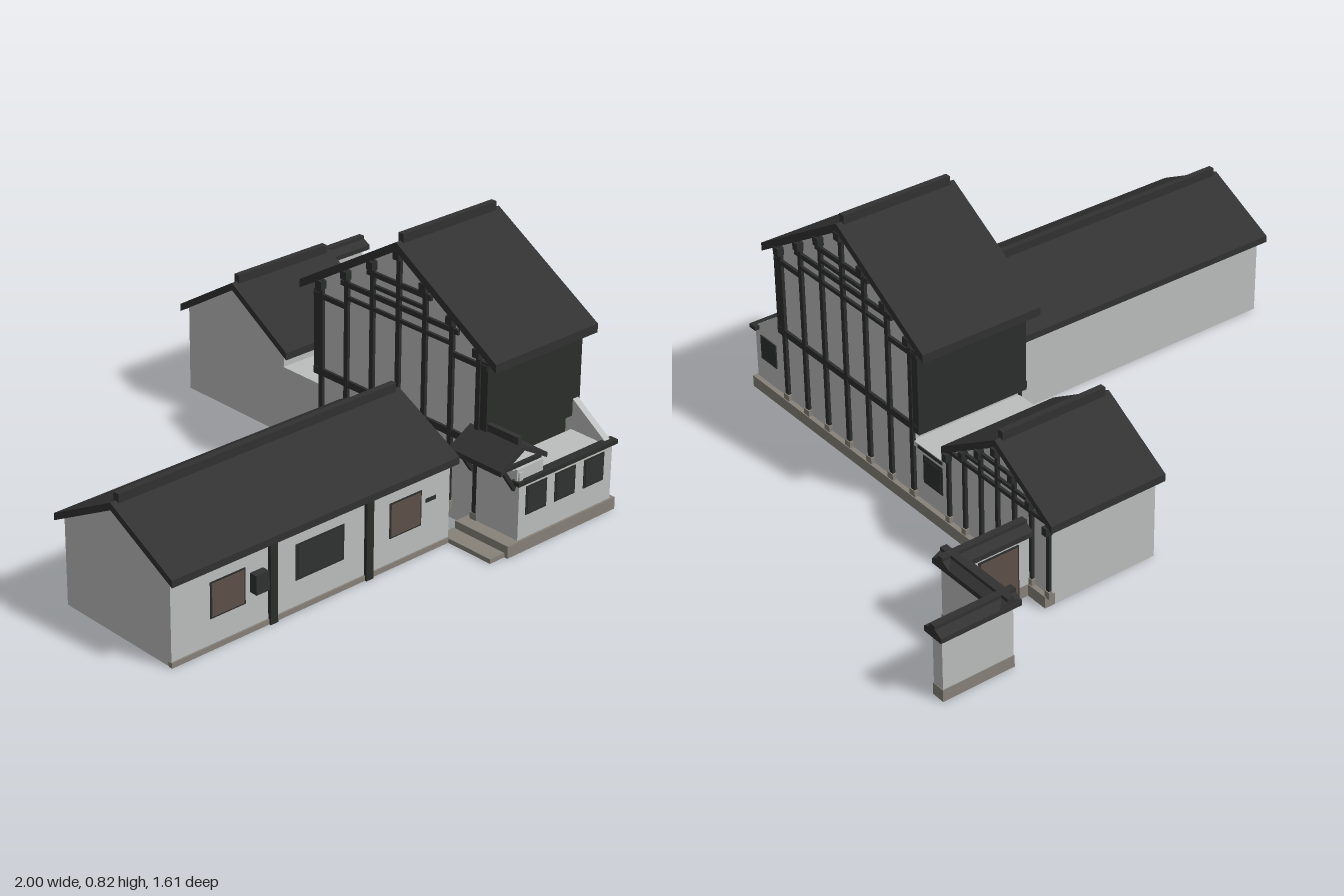
import * as THREE from 'three';

export function createModel() {
  const root = new THREE.Group();
  root.name = 'timberFarmstead';
  const mat = (name, color) => {
    const m = new THREE.MeshStandardMaterial({ color });
    m.name = name;
    return m;
  };
  const roofTile = mat('dark roof tile', 0x323232);
  const timber = mat('dark timber', 0x2b2e2c);
  const plaster = mat('pale plaster', 0xbcbfbd);
  const stone = mat('base stone', 0x87827a);
  const glass = mat('dark window', 0x303232);
  const brown = mat('brown wood', 0x5e504a);

  let parent = root;
  const group = (name, build) => {
    parent = new THREE.Group();
    parent.name = name;
    root.add(parent);
    build();
    parent = root;
  };
  const add = (name, geo, material) => {
    const m = new THREE.Mesh(geo, material);
    m.name = name;
    parent.add(m);
    return m;
  };
  // Box given by its limits on each axis
  const box = (name, m, x0, x1, y0, y1, z0, z1) =>
    add(name, new THREE.BoxGeometry(x1 - x0, y1 - y0, z1 - z0)
      .translate((x0 + x1) / 2, (y0 + y1) / 2, (z0 + z1) / 2), m);
  const extrude = (pts, depth) => new THREE.ExtrudeGeometry(
    new THREE.Shape(pts.map(p => new THREE.Vector2(...p))), { depth, bevelEnabled: false });
  // Profile of [z, y] points swept along x
  const prismX = (name, m, pts, x0, x1) =>
    add(name, extrude(pts, x1 - x0).rotateY(-Math.PI / 2).translate(x1, 0, 0), m);
  // Profile of [x, y] points swept along z
  const prismZ = (name, m, pts, z0, z1) =>
    add(name, extrude(pts, z1 - z0).translate(0, 0, z0), m);
  // Inverted V cross-section of a gable roof
  const chevron = (c, half, ridge, slope, t) => [
    [c - half, ridge - slope * half - t], [c, ridge - t], [c + half, ridge - slope * half - t],
    [c + half, ridge - slope * half], [c, ridge], [c - half, ridge - slope * half]];

  const T = 0.006; // wall thickness

  // Gable-roofed shell: four walls, roof and ridge cap
  const house = ({ x0, x1, c, half, wallHalf, ridge, slope, t, rx0, rx1, longWall = plaster }) => {
    const eave = ridge - t - slope * wallHalf;
    const gable = [[c - wallHalf, 0], [c + wallHalf, 0], [c + wallHalf, eave], [c, ridge - t], [c - wallHalf, eave]];
    prismX('leftGableWall', plaster, gable, x1 - T, x1);
    prismX('rightGableWall', plaster, gable, x0, x0 + T);
    box('frontWall', longWall, x0 + T, x1 - T, 0, eave, c + wallHalf - T, c + wallHalf);
    box('backWall', longWall, x0 + T, x1 - T, 0, eave, c - wallHalf, c - wallHalf + T);
    prismX('roof', roofTile, chevron(c, half, ridge, slope, t), rx0, rx1);
    box('ridgeCap', roofTile, rx0 + 0.02, rx1 - 0.02, ridge - 0.02, ridge + 0.022, c - 0.01, c + 0.01);
  };

  // Posts with stone feet, purlin ends and horizontal beams on a gable face
  const frame = ({ x, dir, c, step, n, ridge, slope, t, w, beams }) => {
    const span = (d0, d1) => [Math.min(x + dir * d0, x + dir * d1), Math.max(x + dir * d0, x + dir * d1)];
    for (let i = -n; i <= n; i++) {
      const z = c + i * step;
      const top = ridge - t - slope * Math.abs(i * step);
      box('post', timber, ...span(0, 0.01), 0.045, top, z - w, z + w);
      box('postFoot', stone, ...span(0, 0.013), 0.035, 0.058, z - w * 1.6, z + w * 1.6);
      box('purlinEnd', timber, ...span(0, 0.022), top - 0.028, top - 0.002, z - w * 1.6, z + w * 1.6);
    }
    for (const [y, h, a, b] of beams)
      box('beam', timber, ...span(0, 0.009), y - h / 2, y + h / 2, c + a, c + b);
  };

  group('mainHall', () => {
    const c = 0.295, ridge = 0.795, slope = 0.6, t = 0.027;
    house({ x0: 0.14, x1: 0.514, c, half: 0.402, wallHalf: 0.325, ridge, slope, t, rx0: 0.118, rx1: 0.533 });
    // Dark boarded upper walls on the two long sides
    for (const s of [1, -1]) {
      const a = c + s * 0.32, b = c + s * 0.357;
      box('upperBoarding', timber, 0.135, 0.521, 0.26, 0.535, Math.min(a, b), Math.max(a, b));
    }
    box('lowerFrontBoarding', timber, 0.146, 0.508, 0.035, 0.27, 0.62, 0.628);
    const beams = [
      [0.275, 0.022, -0.355, 0.355], [0.52, 0.016, 0.215, 0.355], [0.52, 0.016, -0.355, -0.215],
      [0.55, 0.012, -0.215, 0.215], [0.592, 0.016, -0.24, 0.24],
      [0.622, 0.012, -0.11, 0.11], [0.66, 0.016, -0.13, 0.13]];
    for (const [x, dir] of [[0.514, 1], [0.14, -1]])
      frame({ x, dir, c, step: 0.1075, n: 3, ridge, slope, t, w: 0.008, beams });
  });

  group('rearHall', () => {
    const c = -0.423, ridge = 0.437, slope = 0.61, t = 0.024;
    house({ x0: 0.14, x1: 0.514, c, half: 0.247, wallHalf: 0.222, ridge, slope, t, rx0: 0.126, rx1: 0.528 });
    frame({ x: 0.514, dir: 1, c, step: 0.075, n: 3, ridge, slope, t, w: 0.006,
      beams: [[0.28, 0.012, -0.235, 0.235], [0.31, 0.01, -0.16, 0.16], [0.35, 0.011, -0.09, 0.09]] });
  });

  group('connector', () => {
    box('leftWall', plaster, 0.508, 0.514, 0, 0.215, -0.205, -0.03);
    box('rightWall', plaster, 0.14, 0.146, 0, 0.215, -0.205, -0.03);
    box('flatRoof', plaster, 0.138, 0.52, 0.212, 0.228, -0.203, -0.03);
    box('roofEdge', timber, 0.514, 0.523, 0.216, 0.226, -0.17, -0.055);
    box('windowFrame', timber, 0.512, 0.517, 0.105, 0.198, -0.162, -0.073);
    box('window', glass, 0.513, 0.519, 0.112, 0.19, -0.155, -0.08);
  });

  group('frontAnnex', () => {
    const side = [[0.62, 0], [0.79, 0], [0.79, 0.218], [0.65, 0.315], [0.62, 0.315]];
    prismX('leftWall', plaster, side, 0.492, 0.514);
    prismX('rightWall', plaster, [[0.62, 0], [0.79, 0], [0.79, 0.25], [0.62, 0.25]], 0.13, 0.145);
    box('frontWall', plaster, 0.13, 0.514, 0, 0.215, 0.784, 0.79);
    box('flatRoof', plaster, 0.145, 0.492, 0.208, 0.216, 0.65, 0.784);
    box('eaveBeam', timber, 0.12, 0.53, 0.212, 0.225, 0.768, 0.798);
    box('porchBackPanel', plaster, 0.125, 0.23, 0.225, 0.26, 0.775, 0.785);
    for (const x of [0.2, 0.318, 0.438]) {
      box('windowFrame', timber, x - 0.042, x + 0.042, 0.11, 0.2, 0.783, 0.792);
      box('window', glass, x - 0.036, x + 0.036, 0.117, 0.193, 0.785, 0.794);
    }
    box('sideWindow', glass, 0.511, 0.518, 0.115, 0.197, 0.678, 0.76);
  });

  group('porch', () => {
    prismZ('porchRoof', roofTile, chevron(0.147, 0.093, 0.332, 0.56, 0.016), 0.585, 0.79);
    box('porchRidge', roofTile, 0.139, 0.155, 0.32, 0.35, 0.64, 0.77);
    for (const z of [0.6, 0.765]) {
      prismZ('strut', timber, [[0.125, 0.19], [0.134, 0.2], [0.083, 0.272], [0.072, 0.268]], z, z + 0.012);
      box('tieBeam', timber, 0.065, 0.23, 0.262, 0.272, z, z + 0.012);
    }
  });

  // Hollow stone plinth around the halls, with the porch step
  group('plinth', () => {
    box('leftPlinth', stone, 0.495, 0.53, 0, 0.038, -0.645, 0.797);
    box('frontPlinth', stone, 0.085, 0.495, 0, 0.038, 0.76, 0.797);
    box('rightPlinth', stone, 0.085, 0.15, 0, 0.038, 0.59, 0.76);
    box('step', stone, 0.028, 0.085, 0, 0.014, 0.585, 0.785);
  });

  group('longWing', () => {
    house({ x0: -0.985, x1: 0.032, c: 0.395, half: 0.247, wallHalf: 0.22,
      ridge: 0.405, slope: 0.52, t: 0.022, rx0: -1, rx1: 0.042 });
    const plate = (name, m, x0, x1, y0, y1) => box(name, m, x0, x1, y0, y1, 0.6075, 0.617);
    for (const x of [-0.79, -0.14]) {
      plate('windowFrame', timber, x - 0.061, x + 0.061, 0.094, 0.204);
      box('shutter', brown, x - 0.056, x + 0.056, 0.099, 0.199, 0.607, 0.6185);
    }
    plate('wideWindowFrame', timber, -0.55, -0.373, 0.095, 0.205);
    box('wideWindow', glass, -0.542, -0.381, 0.102, 0.198, 0.607, 0.6185);
    box('wallBox', glass, -0.712, -0.666, 0.122, 0.18, 0.61, 0.642);
    plate('vent', timber, -0.062, -0.022, 0.158, 0.17);
    for (const x of [-0.635, -0.283])
      box('post', timber, x - 0.013, x + 0.013, 0, 0.262, 0.6, 0.626);
    box('baseStrip', stone, -0.987, 0.034, 0, 0.016, 0.606, 0.62);
  });

  group('gardenWall', () => {
    // Wall runs: x0, x1, z0, z1
    const h = 0.02, za = -0.548, zb = -0.77, xc = 0.772;
    const runs = [[0.514, xc + h, za - h, za + h], [xc - h, xc + h, zb - h, za - h], [xc + h, 0.985, zb - h, zb + h]];
    runs.forEach(([x0, x1, z0, z1]) => {
      box('wall', plaster, x0, x1, 0.038, 0.215, z0, z1);
      box('wallBase', stone, x0 - 0.002, x1 + 0.002, 0, 0.038, z0 - 0.002, z1 + 0.002);
    });
    const cap = c => [[c - 0.037, 0.206], [c + 0.037, 0.206], [c + 0.037, 0.222], [c + 0.011, 0.236],
      [c + 0.011, 0.247], [c - 0.011, 0.247], [c - 0.011, 0.236], [c - 0.037, 0.222]];
    prismX('wallRoof', roofTile, cap(za), 0.524, xc + 0.037);
    prismZ('wallRoof', roofTile, cap(xc), zb - 0.036, za + 0.036);
    prismX('wallRoof', roofTile, cap(zb), xc - 0.036, 1);
    // Gate seen from both sides
    box('gateFrame', timber, 0.562, 0.698, 0, 0.186, za - h - 0.004, za + h + 0.004);
    box('gate', brown, 0.567, 0.693, 0.004, 0.181, za - h - 0.006, za + h + 0.006);
  });

  return root;
}
